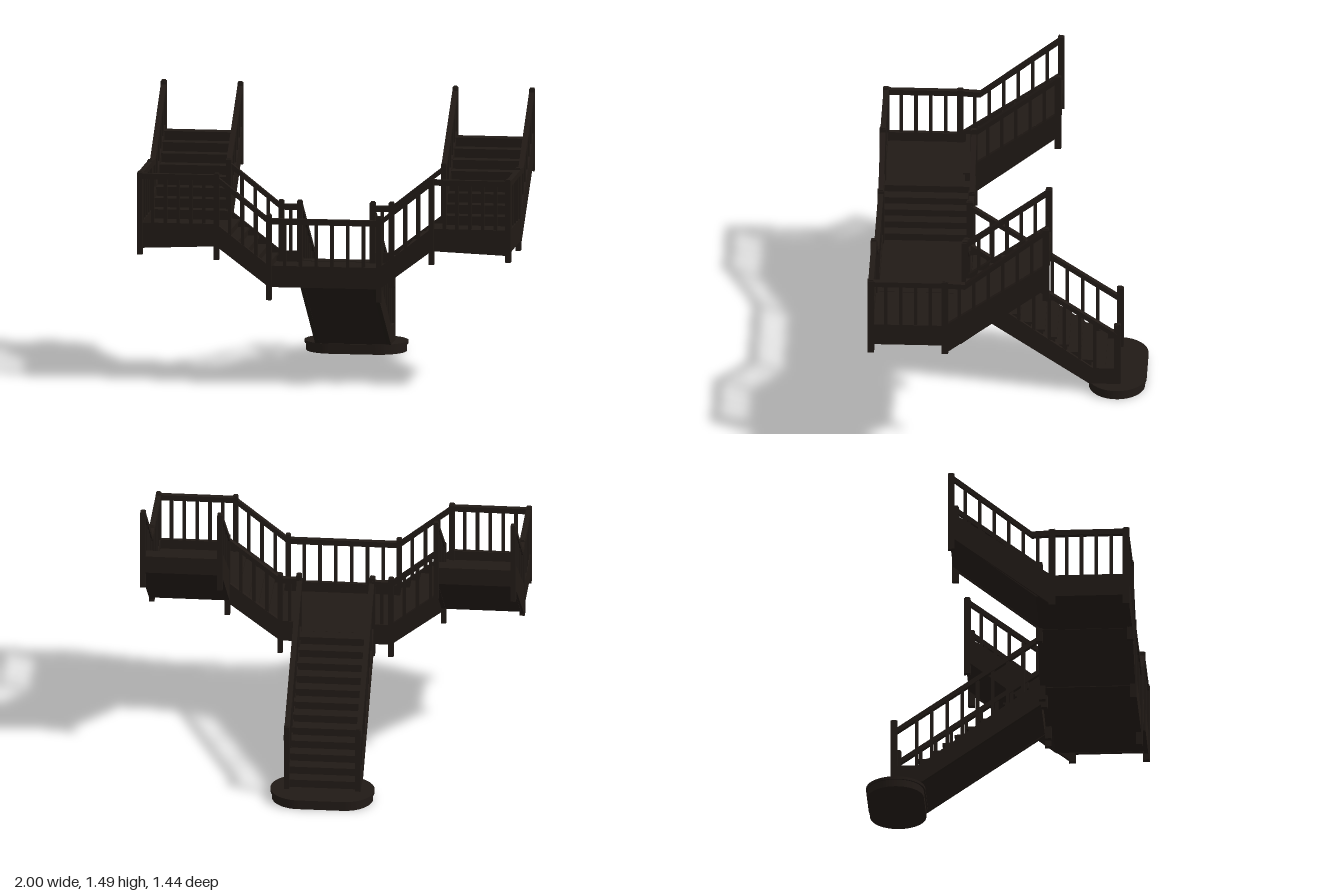
import * as THREE from 'three';

const wood = new THREE.MeshStandardMaterial({ color: 0x211a16, flatShading: true });

// Height at position a on a polyline of [a, y] points
function heightAt(line, a) {
  for (let i = 0; i < line.length - 1; i++) {
    const [a0, y0] = line[i], [a1, y1] = line[i + 1];
    if ((a - a0) * (a - a1) <= 1e-9) return y0 + (y1 - y0) * (a - a0) / (a1 - a0);
  }
  return line[line.length - 1][1];
}

export function createModel() {
  const root = new THREE.Group();
  root.name = 'splitStaircase';

  function add(name, geometry, parent = root) {
    const mesh = new THREE.Mesh(geometry, wood);
    mesh.name = name;
    parent.add(mesh);
    return mesh;
  }

  function group(name) {
    const g = new THREE.Group();
    g.name = name;
    root.add(g);
    return g;
  }

  function box(name, x0, x1, y0, y1, z0, z1, parent) {
    const g = new THREE.BoxGeometry(Math.abs(x1 - x0), Math.abs(y1 - y0), Math.abs(z1 - z0));
    g.translate((x0 + x1) / 2, (y0 + y1) / 2, (z0 + z1) / 2);
    return add(name, g, parent);
  }

  // Profile of [a, y] points, running along the axis and spanning c0..c1 across it
  function slab(name, axis, points, c0, c1, parent) {
    const lo = Math.min(c0, c1), hi = Math.max(c0, c1);
    const shape = new THREE.Shape(points.map(p => new THREE.Vector2(p[0], p[1])));
    const g = new THREE.ExtrudeGeometry(shape, { depth: hi - lo, bevelEnabled: false });
    if (axis === 'x') g.translate(0, 0, lo);
    else g.rotateY(-Math.PI / 2).translate(hi, 0, 0);
    return add(name, g, parent);
  }

  // Band between an upper and a lower polyline
  const band = (upper, lower) => [...upper, ...[...lower].reverse()];

  // Side board, handrail and evenly spaced balusters
  function railing(name, axis, c, { top, bottom, rail, count, from, to }) {
    const g = group(name);
    slab('sideBoard', axis, band(top, bottom), c - 0.011, c + 0.011, g);
    slab('handrail', axis, band(rail, rail.map(([a, y]) => [a, y - 0.03])), c - 0.014, c + 0.014, g);
    const a0 = from ?? rail[0][0], a1 = to ?? rail[rail.length - 1][0];
    for (let i = 1; i <= count; i++) {
      const a = a0 + (a1 - a0) * i / (count + 1), w = 0.009;
      const y0 = heightAt(top, a) - 0.015, y1 = heightAt(rail, a) - 0.015;
      if (axis === 'x') box('baluster', a - w, a + w, y0, y1, c - w, c + w, g);
      else box('baluster', c - w, c + w, y0, y1, a - w, a + w, g);
    }
  }

  // Solid run of steps with a closed underside and overhanging treads
  function flight(name, axis, [a0, y0], [a1, y1], n, under, c0, c1) {
    const g = group(name), run = (a1 - a0) / n, rise = (y1 - y0) / n;
    const points = [];
    for (let i = 0; i < n; i++) {
      const a = a0 + i * run, y = y0 + (i + 1) * rise;
      points.push([a, y - rise], [a, y], [a + run, y]);
      const front = a - Math.sign(run) * 0.01;
      slab('tread', axis, [[front, y - 0.01], [a + run, y - 0.01], [a + run, y + 0.002], [front, y + 0.002]], c0, c1, g);
    }
    slab('steps', axis, [...points, ...under], c0, c1, g);
  }

  function post(x, z, y0, y1) {
    box('newelPost', x - 0.014, x + 0.014, y0, y1 - 0.006, z - 0.0175, z + 0.0175);
    box('postCap', x - 0.01, x + 0.01, y1 - 0.006, y1, z - 0.013, z + 0.013);
  }

  // Rounded starting step with a projecting lip
  function roundedStep(name, inset, y0, y1) {
    const r = 0.157 - inset, h = 0.12;
    const s = new THREE.Shape();
    s.absarc(h, 0, r, -Math.PI / 2, Math.PI / 2, false);
    s.absarc(-h, 0, r, Math.PI / 2, Math.PI * 1.5, false);
    const g = new THREE.ExtrudeGeometry(s, { depth: y1 - y0, bevelEnabled: false, curveSegments: 16 });
    g.rotateX(-Math.PI / 2).translate(0, y0, -0.565);
    add(name, g);
  }
  roundedStep('startingStep', 0.008, 0, 0.042);
  roundedStep('startingStepLip', 0, 0.04, 0.055);

  // Lower flight and central landing
  flight('lowerFlight', 'z', [-0.56, 0.055], [0.21, 0.6], 12,
    [[0.21, 0.495], [-0.42, 0.055]], -0.19, 0.19);
  box('centralLanding', -0.3, 0.3, 0.54, 0.6, 0.215, 0.71);
  railing('centralFrontRailing', 'x', 0.705, {
    top: [[-0.295, 0.655], [0.295, 0.655]], bottom: [[-0.295, 0.54], [0.295, 0.54]],
    rail: [[-0.295, 0.907], [0.295, 0.907]], count: 6,
  });

  for (const s of [1, -1]) {
    // Mirror the x positions of a polyline
    const m = line => line.map(([a, y]) => [s * a, y]);

    railing('lowerFlightRailing', 'z', s * 0.192, {
      top: [[-0.575, 0.15], [-0.44, 0.15], [0.225, 0.638]],
      bottom: [[-0.575, 0.055], [-0.42, 0.055], [0.225, 0.5]],
      rail: [[-0.57, 0.362], [0.225, 0.907]], count: 8, from: -0.53, to: 0.195,
    });
    post(s * 0.19, -0.57, 0.05, 0.42);
    post(s * 0.195, 0.228, 0.47, 0.93);
    railing('centralBackRailing', 'x', 0.222, {
      top: m([[0.195, 0.655], [0.295, 0.655]]), bottom: m([[0.195, 0.54], [0.295, 0.54]]),
      rail: m([[0.195, 0.907], [0.295, 0.907]]), count: 1,
    });

    // Short flight to the side landing
    flight('sideFlight', 'x', [s * 0.32, 0.6], [s * 0.575, 0.82], 5,
      m([[0.575, 0.75], [0.295, 0.54], [0.295, 0.6]]), 0.215, 0.71);
    for (const z of [0.222, 0.705]) {
      railing('sideFlightRailing', 'x', z, {
        top: m([[0.295, 0.655], [0.575, 0.872]]), bottom: m([[0.295, 0.54], [0.575, 0.752]]),
        rail: m([[0.295, 0.907], [0.575, 1.13]]), count: 3,
      });
      post(s * 0.295, z, 0.47, 0.93);
      post(s * 0.575, z, 0.68, 1.145);
    }

    // Side landing
    box('sideLanding', s * 0.57, s * 0.99, 0.752, 0.82, 0.27, 0.71);
    railing('sideLandingFrontRailing', 'x', 0.705, {
      top: m([[0.575, 0.872], [0.985, 0.872]]), bottom: m([[0.575, 0.752], [0.985, 0.735]]),
      rail: m([[0.575, 1.135], [0.985, 1.135]]), count: 5,
    });
    railing('sideLandingOuterRailing', 'z', s * 0.985, {
      top: [[0.705, 0.872], [0.31, 0.872]], bottom: [[0.705, 0.75], [0.31, 0.75]],
      rail: [[0.705, 1.135], [0.31, 1.135]], count: 4,
    });
    post(s * 0.985, 0.705, 0.7, 1.145);
    post(s * 0.985, 0.312, 0.7, 1.145);

    // Upper flight
    flight('upperFlight', 'z', [0.27, 0.82], [-0.235, 1.218], 8,
      [[-0.235, 1.125], [0.225, 0.757], [0.27, 0.752]], s * 0.575, s * 0.985);
    railing('upperOuterRailing', 'z', s * 0.985, {
      top: [[0.312, 0.872], [-0.225, 1.258]], bottom: [[0.312, 0.7], [-0.225, 1.112]],
      rail: [[0.312, 1.135], [0.205, 1.13], [-0.225, 1.478]], count: 6,
    });
    railing('upperInnerRailing', 'z', s * 0.575, {
      top: [[0.225, 0.928], [-0.225, 1.258]], bottom: [[0.225, 0.752], [-0.225, 1.112]],
      rail: [[0.225, 1.13], [-0.225, 1.478]], count: 5,
    });
    for (const x of [0.575, 0.985]) post(s * x, -0.223, 1.04, 1.485);
  }

  return root;
}
